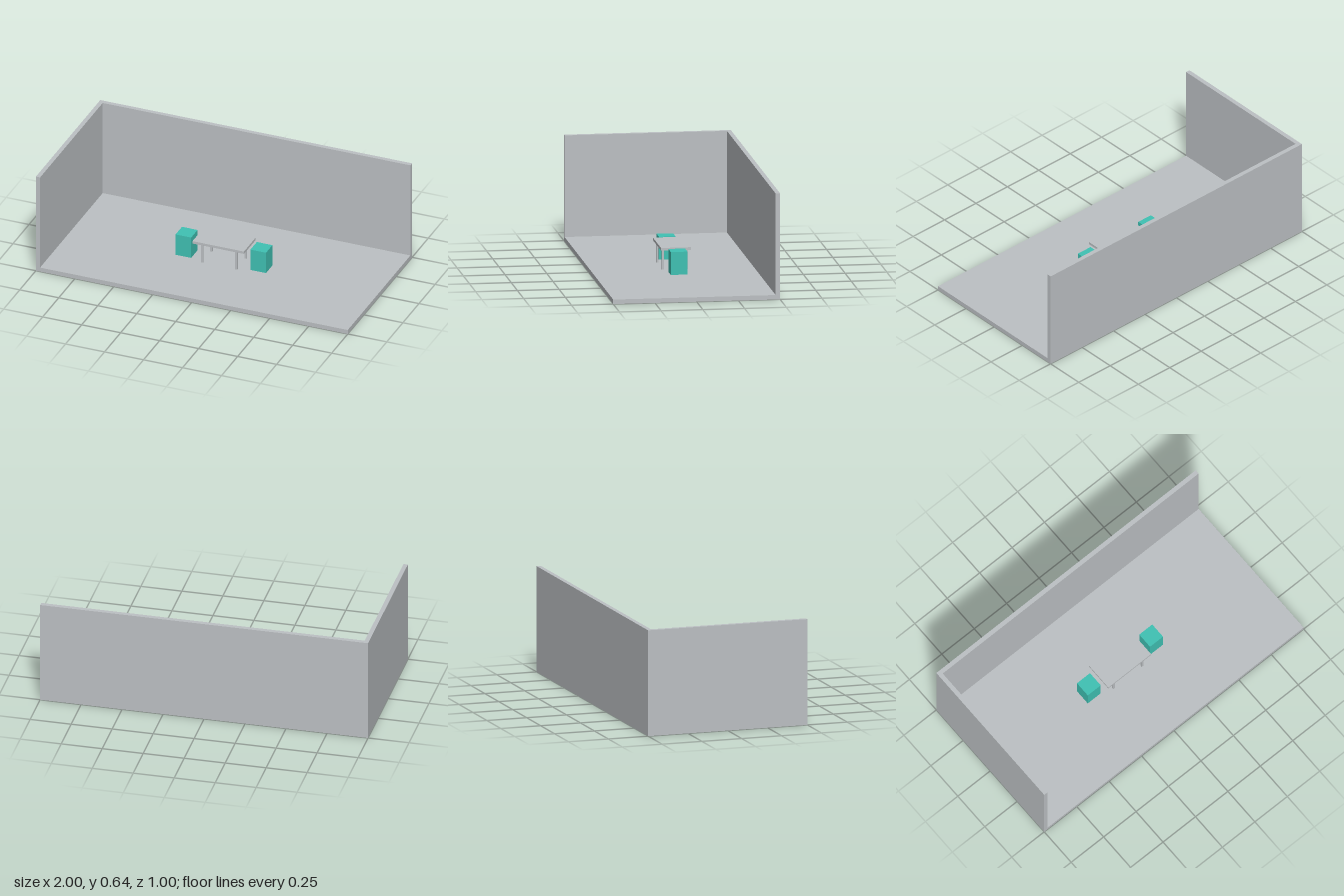
import * as THREE from 'three';

export function createModel() {
  const room = new THREE.Group();
  room.name = 'room';
  const grey = new THREE.MeshStandardMaterial({ color: 0xbcc0c3 });
  grey.name = 'pale grey';
  const teal = new THREE.MeshStandardMaterial({ color: 0x40c1b3 });
  teal.name = 'teal';

  // Box given by its lower and upper corners
  const box = (name, material, [x0, y0, z0], [x1, y1, z1], parent = room) => {
    const mesh = new THREE.Mesh(new THREE.BoxGeometry(x1 - x0, y1 - y0, z1 - z0), material);
    mesh.position.set((x0 + x1) / 2, (y0 + y1) / 2, (z0 + z1) / 2);
    mesh.name = name;
    parent.add(mesh);
  };

  // Floor and two walls, open at the front and left
  const t = 0.027, height = 0.64;
  box('floor', grey, [-1, 0, -0.5], [1, t, 0.5]);
  box('backWall', grey, [-1, t, -0.5], [1, height, -0.5 + t]);
  box('sideWall', grey, [-1, t, -0.5 + t], [-1 + t, height, 0.5]);

  // Table with four slim legs
  const table = new THREE.Group();
  table.name = 'table';
  room.add(table);
  box('tableTop', grey, [-0.165, 0.151, -0.09], [0.165, 0.167, 0.09], table);
  const r = 0.0067;
  for (const x of [-0.11, 0.11]) {
    for (const z of [-0.071, 0.071]) {
      box('tableLeg', grey, [x - r, t, z - r], [x + r, 0.151, z + r], table);
    }
  }

  // A block stool at each end of the table
  for (const x of [-0.24, 0.24]) {
    box('stool', teal, [x - 0.05, t, -0.05], [x + 0.05, 0.165, 0.05]);
  }
  return room;
}
